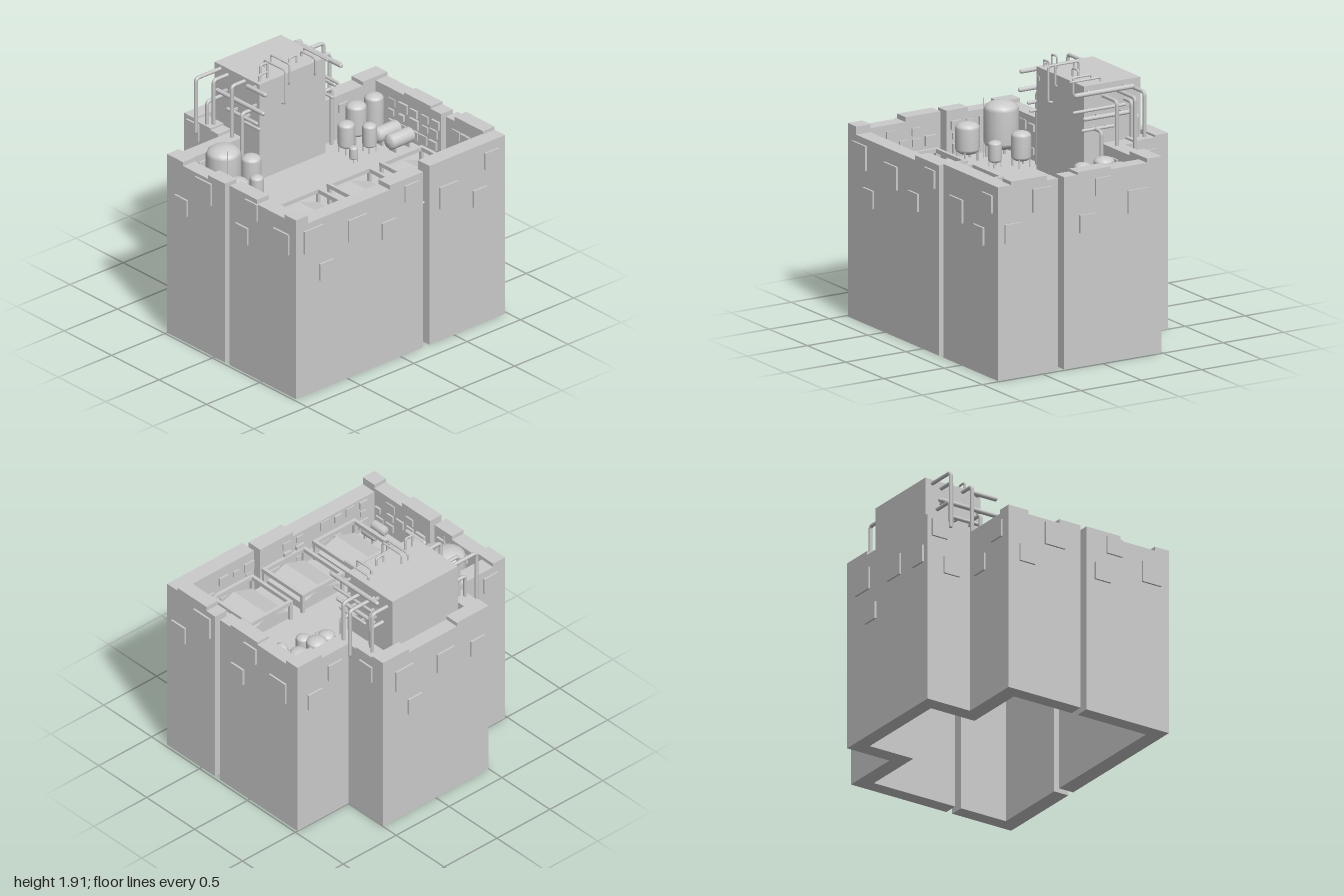
import * as THREE from 'three';

const mat = new THREE.MeshStandardMaterial({ color: 0xcccccc });
const openMat = new THREE.MeshStandardMaterial({ color: 0xcccccc, side: THREE.DoubleSide });
const ROOF = 1.06;

export function createModel() {
  const root = new THREE.Group();
  root.name = 'rooftopBlock';

  const group = (name) => {
    const g = new THREE.Group();
    g.name = name;
    root.add(g);
    return g;
  };
  const add = (parent, name, geo, x = 0, y = 0, z = 0, m = mat) => {
    const mesh = new THREE.Mesh(geo, m);
    mesh.name = name;
    mesh.position.set(x, y, z);
    parent.add(mesh);
    return mesh;
  };
  // Box given by its limits
  const box = (parent, name, x0, x1, y0, y1, z0, z1) =>
    add(parent, name, new THREE.BoxGeometry(x1 - x0, y1 - y0, z1 - z0),
      (x0 + x1) / 2, (y0 + y1) / 2, (z0 + z1) / 2);
  // Pipe along a polyline, with rounded elbows
  const pipe = (parent, name, r, pts) => {
    const p = pts.map((a) => new THREE.Vector3(...a));
    const path = new THREE.CurvePath();
    let from = p[0];
    for (let i = 1; i < p.length - 1; i++) {
      const a = p[i].clone().add(p[i - 1].clone().sub(p[i]).setLength(r * 2));
      const b = p[i].clone().add(p[i + 1].clone().sub(p[i]).setLength(r * 2));
      path.add(new THREE.LineCurve3(from, a));
      path.add(new THREE.QuadraticBezierCurve3(a, p[i], b));
      from = b;
    }
    path.add(new THREE.LineCurve3(from, p[p.length - 1]));
    add(parent, name, new THREE.TubeGeometry(path, p.length > 2 ? 48 : 1, r, 8), 0, 0, 0, openMat);
    // Round stops close both ends
    for (const e of [p[0], p[p.length - 1]])
      add(parent, name + 'End', new THREE.SphereGeometry(r, 8, 4), e.x, e.y, e.z);
  };

  // Hollow outer walls, split by narrow gaps: x0, x1, z0, z1, top
  const walls = group('walls');
  for (const [x0, x1, z0, z1, top] of [
    [-0.5, 0.11, 0.87, 0.98, 1.38], [0.16, 0.86, 0.87, 0.98, 1.38],
    [0.74, 0.86, 0.1, 0.87, 1.35], [0.74, 0.86, -0.21, 0.1, 1.385],
    [0.74, 0.86, -0.98, -0.27, 1.41],
    [0.36, 0.74, -0.98, -0.87, 1.4], [-0.5, 0.31, -0.98, -0.87, 1.4],
    [-0.5, -0.38, 0.38, 0.87, 1.38], [-0.5, -0.38, -0.87, -0.38, 1.4],
    [-0.86, -0.5, 0.38, 0.5, 1.4], [-0.86, -0.5, -0.5, -0.38, 1.4],
    [-0.86, -0.75, -0.38, 0.38, 1.4],
  ]) box(walls, 'wall', x0, x1, 0, top, z0, z1);

  // Raised coping blocks
  const copings = group('copings');
  for (const [x0, x1, z0, z1, y0, y1] of [
    [-0.5, -0.33, 0.87, 0.98, 1.38, 1.41], [-0.07, 0.11, 0.87, 0.98, 1.38, 1.41],
    [0.16, 0.45, 0.87, 0.98, 1.38, 1.415], [0.74, 0.86, 0.87, 0.98, 1.38, 1.41],
    [0.45, 0.75, -0.98, -0.87, 1.4, 1.435], [-0.08, 0.2, -0.98, -0.87, 1.4, 1.42],
    [-0.5, -0.38, -0.98, -0.75, 1.4, 1.43],
    [-0.86, -0.75, 0.2, 0.5, 1.4, 1.43], [-0.86, -0.75, -0.5, -0.25, 1.4, 1.43],
    [-0.75, -0.58, 0.38, 0.5, 1.4, 1.415], [-0.75, -0.58, -0.5, -0.38, 1.4, 1.415],
  ]) box(copings, 'coping', x0, x1, y0, y1, z0, z1);

  // Sunken roof deck and its bay
  const deck = group('roofDeck');
  box(deck, 'mainDeck', -0.38, 0.74, ROOF - 0.02, ROOF, -0.87, 0.87);
  box(deck, 'bayDeck', -0.75, -0.38, ROOF - 0.02, ROOF, -0.38, 0.38);

  // Square panels on the outer walls
  const panels = group('outerPanels');
  const T = 0.015;
  const panelZ = (z, list) => list.forEach(([x, y, s]) =>
    box(panels, 'panel', x - s / 2, x + s / 2, y - s / 2, y + s / 2, z - T, z + T));
  const panelX = (x, list) => list.forEach(([z, y, s]) =>
    box(panels, 'panel', x - T, x + T, y - s / 2, y + s / 2, z - s / 2, z + s / 2));
  panelZ(0.98, [[-0.345, 1.065, 0.13], [-0.11, 1.27, 0.17], [0.395, 1.315, 0.13],
    [0.295, 1.09, 0.13], [0.71, 1.19, 0.16]]);
  panelZ(0.5, [[-0.76, 1.335, 0.13], [-0.66, 1.07, 0.13]]);
  panelX(0.86, [[0.82, 1.21, 0.18], [0.7, 0.93, 0.13], [0.41, 1.16, 0.17], [0.115, 1.05, 0.13],
    [-0.1, 1.27, 0.13], [-0.445, 1.125, 0.17], [-0.74, 1.01, 0.13], [-0.85, 1.27, 0.13]]);
  panelZ(-0.98, [[0.49, 1.27, 0.17], [0.735, 1.06, 0.14], [-0.01, 1.29, 0.13],
    [0.12, 1.04, 0.13], [-0.3, 1.14, 0.17]]);
  panelZ(-0.5, [[-0.69, 1.27, 0.13]]);
  panelX(-0.5, [[-0.63, 1.24, 0.13], [-0.82, 1.08, 0.13], [0.63, 1.08, 0.13], [0.84, 1.26, 0.13]]);
  panelX(-0.86, [[-0.3, 1.21, 0.17], [0.09, 1.17, 0.16], [0.39, 1.14, 0.13], [-0.2, 0.93, 0.13]]);

  // Small uneven panels on the inner walls
  const inner = group('innerPanels');
  let seed = 7;
  const rnd = () => (seed = (seed * 16807) % 2147483647) / 2147483647;
  for (const y of [1.13, 1.22, 1.3]) {
    for (let x = -0.32; x < 0.7; x += 0.11) {
      for (const [z, g0] of [[-0.87, 0.335], [0.87, 0.135]]) {
        const s = 0.025 + rnd() * 0.02, d = 0.008 + rnd() * 0.012, px = x + rnd() * 0.03;
        if (rnd() < 0.25 || Math.abs(px - g0) < 0.07) continue;
        box(inner, 'smallPanel', px - s, px + s, y - s * 0.8, y + s * 0.8, z - d, z + d);
      }
    }
    for (let z = -0.8; z < 0.82; z += 0.12) {
      const s = 0.025 + rnd() * 0.02, d = 0.008 + rnd() * 0.012;
      if (rnd() < 0.25 || Math.abs(z + 0.24) < 0.075) continue;
      box(inner, 'smallPanel', 0.74 - d, 0.74 + d, y - s * 0.8, y + s * 0.8, z - s, z + s);
      if (Math.abs(z) > 0.45)
        box(inner, 'smallPanel', -0.38 - d, -0.38 + d, y - s * 0.8, y + s * 0.8, z - s, z + s);
    }
  }

  // Tower
  const tower = group('tower');
  box(tower, 'towerBody', -0.75, -0.28, ROOF - 0.02, 1.81, -0.31, 0.31);
  box(tower, 'towerHatch', -0.29, -0.275, 1.715, 1.745, 0.265, 0.295);

  // Gabled skylights under raised frames
  const gable = new THREE.Shape([[-0.175, 0], [0.175, 0], [0.175, 0.06], [0, 0.12], [-0.175, 0.06]]
    .map(([a, b]) => new THREE.Vector2(a, b)));
  for (const z of [-0.49, 0, 0.48]) {
    const s = group('skylight');
    add(s, 'skylightGable', new THREE.ExtrudeGeometry(gable, { depth: 0.37, bevelEnabled: false }),
      0.335, ROOF, z).rotation.y = Math.PI / 2;
    for (const e of [-1, 1]) {
      const zb = z + e * 0.187, xb = 0.522 + e * 0.2;
      box(s, 'frameRail', 0.307, 0.737, 1.19, 1.22, zb - 0.013, zb + 0.013);
      box(s, 'frameRail', xb - 0.013, xb + 0.013, 1.19, 1.22, z - 0.2, z + 0.2);
      for (const px of [0.322, 0.722])
        box(s, 'framePost', px - 0.012, px + 0.012, ROOF, 1.19, zb - 0.012, zb + 0.012);
    }
  }

  // Upright domed tanks on legs: x, z, radius, top
  for (const [x, z, r, top] of [
    [-0.285, -0.77, 0.07, 1.37], [-0.27, -0.59, 0.075, 1.37], [-0.095, -0.56, 0.052, 1.28],
    [-0.195, -0.43, 0.062, 1.3], [-0.05, -0.37, 0.032, 1.18],
    [-0.23, 0.69, 0.125, 1.48], [0, 0.77, 0.088, 1.34], [-0.23, 0.43, 0.072, 1.32], [-0.07, 0.52, 0.05, 1.25],
  ]) {
    const t = group('uprightTank');
    const h = top - ROOF, low = ROOF + h * 0.15, d = r * 0.5;
    const profile = [[0, low]];
    for (let i = 1; i <= 4; i++) {
      const a = (i * Math.PI) / 8;
      profile.push([r * Math.sin(a), low + d * (1 - Math.cos(a))]);
    }
    for (let i = 4; i >= 0; i--) {
      const a = (i * Math.PI) / 8;
      profile.push([r * Math.sin(a), top - d * (1 - Math.cos(a))]);
    }
    add(t, 'tankBody', new THREE.LatheGeometry(profile.map((p) => new THREE.Vector2(...p)), 16), x, 0, z);
    for (let i = 0; i < 4; i++) {
      const a = Math.PI * (i / 2 + 0.25), leg = low + d - ROOF;
      add(t, 'tankLeg', new THREE.CylinderGeometry(r * 0.09, r * 0.09, leg, 6),
        x + r * 0.85 * Math.cos(a), ROOF + leg / 2, z + r * 0.85 * Math.sin(a));
    }
  }
  add(root, 'antenna', new THREE.CylinderGeometry(0.004, 0.004, 0.44, 6), -0.12, 1.28, 0.75);

  // Lying tanks on cradles: x, y, z, radius, length, along x
  for (const [x, y, z, r, len, alongX] of [
    [-0.125, 1.14, -0.745, 0.057, 0.23], [0.015, 1.14, -0.745, 0.057, 0.23],
    [0.66, 1.12, -0.825, 0.035, 0.14, true], [0.66, 1.12, -0.735, 0.035, 0.14, true],
    [0.63, 1.12, 0.73, 0.035, 0.14, true], [0.63, 1.12, 0.82, 0.035, 0.14, true],
  ]) {
    const t = group('lyingTank');
    const h = len / 2, e = r * 0.4;
    const pts = [[0, -h], [r * 0.7, -h + e * 0.2], [r, -h + e], [r, h - e], [r * 0.7, h - e * 0.2], [0, h]];
    const body = add(t, 'tankBody', new THREE.LatheGeometry(pts.map((p) => new THREE.Vector2(...p)), 16), 0, 0, 0);
    body.rotation.x = Math.PI / 2;
    for (const s of [-1, 1])
      box(t, 'cradle', -r * 0.6, r * 0.6, ROOF - y, -r * 0.6, s * h * 0.55 - 0.008, s * h * 0.55 + 0.008);
    t.position.set(x, y, z);
    if (alongX) t.rotation.y = Math.PI / 2;
  }

  // Riser pipes bending into the tower sides: x, foot y, outer z, top y
  const pipes = group('towerPipes');
  for (const [x, foot, z, top] of [
    [-0.69, 1.36, 0.54, 1.78], [-0.65, 1.38, 0.47, 1.59], [-0.615, 1.38, 0.44, 1.76],
    [-0.435, 1.36, 0.43, 1.78], [-0.35, ROOF, 0.41, 1.59],
    [-0.56, 1.36, -0.54, 1.74], [-0.44, 1.38, -0.49, 1.72], [-0.695, 1.38, -0.45, 1.74],
    [-0.65, 1.38, -0.42, 1.58], [-0.62, 1.38, -0.4, 1.67], [-0.35, ROOF, -0.43, 1.5],
  ]) pipe(pipes, 'riserPipe', 0.014, [[x, foot, z], [x, top, z], [x, top, Math.sign(z) * 0.3]]);

  // Level pipes beside the tower: x0, x1, y, z, radius
  for (const [x0, x1, y, z, r] of [
    [-0.66, -0.18, 1.64, 0.365, 0.017], [-0.55, -0.25, 1.535, 0.365, 0.014], [-0.36, -0.18, 1.78, 0.345, 0.017],
    [-0.4, -0.25, 1.48, 0.34, 0.012], [-0.65, -0.18, 1.77, -0.365, 0.018], [-0.62, -0.25, 1.59, -0.37, 0.016],
    [-0.5, -0.25, 1.5, -0.345, 0.012], [-0.6, -0.18, 1.64, -0.34, 0.012],
  ]) {
    pipe(pipes, 'levelPipe', r, [[x0, y, z], [x1, y, z]]);
    for (const x of [x0 + 0.04, x1 - 0.13])
      box(pipes, 'pipeBracket', x - 0.008, x + 0.008, y - 0.008, y + 0.008, Math.min(z, Math.sign(z) * 0.3), Math.max(z, Math.sign(z) * 0.3));
  }

  // Thin hoops on and over the tower top
  for (const pts of [
    [[-0.46, 1.8, 0.04], [-0.46, 1.885, 0.04], [-0.265, 1.885, 0.04], [-0.265, 1.73, 0.04], [-0.29, 1.73, 0.04]],
    [[-0.46, 1.8, 0.1], [-0.46, 1.865, 0.1], [-0.245, 1.865, 0.1], [-0.245, 1.6, 0.1], [-0.29, 1.6, 0.1]],
    [[-0.41, 1.8, -0.2], [-0.41, 1.85, -0.2], [-0.262, 1.85, -0.2], [-0.262, 1.72, -0.2], [-0.29, 1.72, -0.2]],
    [[-0.45, 1.8, -0.26], [-0.45, 1.84, -0.26], [-0.2, 1.84, -0.26]],
    [[-0.36, 1.8, -0.11], [-0.36, 1.87, -0.11], [-0.36, 1.87, -0.04], [-0.36, 1.8, -0.04]],
    [[-0.36, 1.8, 0.165], [-0.36, 1.905, 0.165], [-0.36, 1.905, 0.23], [-0.36, 1.8, 0.23]],
    [[-0.32, 1.8, 0.2], [-0.32, 1.86, 0.2], [-0.32, 1.86, 0.275], [-0.32, 1.8, 0.275]],
  ]) pipe(pipes, 'hoopPipe', 0.008, pts);

  // Small bent pipe in the side gap
  pipe(pipes, 'gapPipe', 0.012, [[0.8, 1.04, -0.225], [0.8, 1.1, -0.225], [0.8, 1.1, -0.27]]);

  return root;
}
